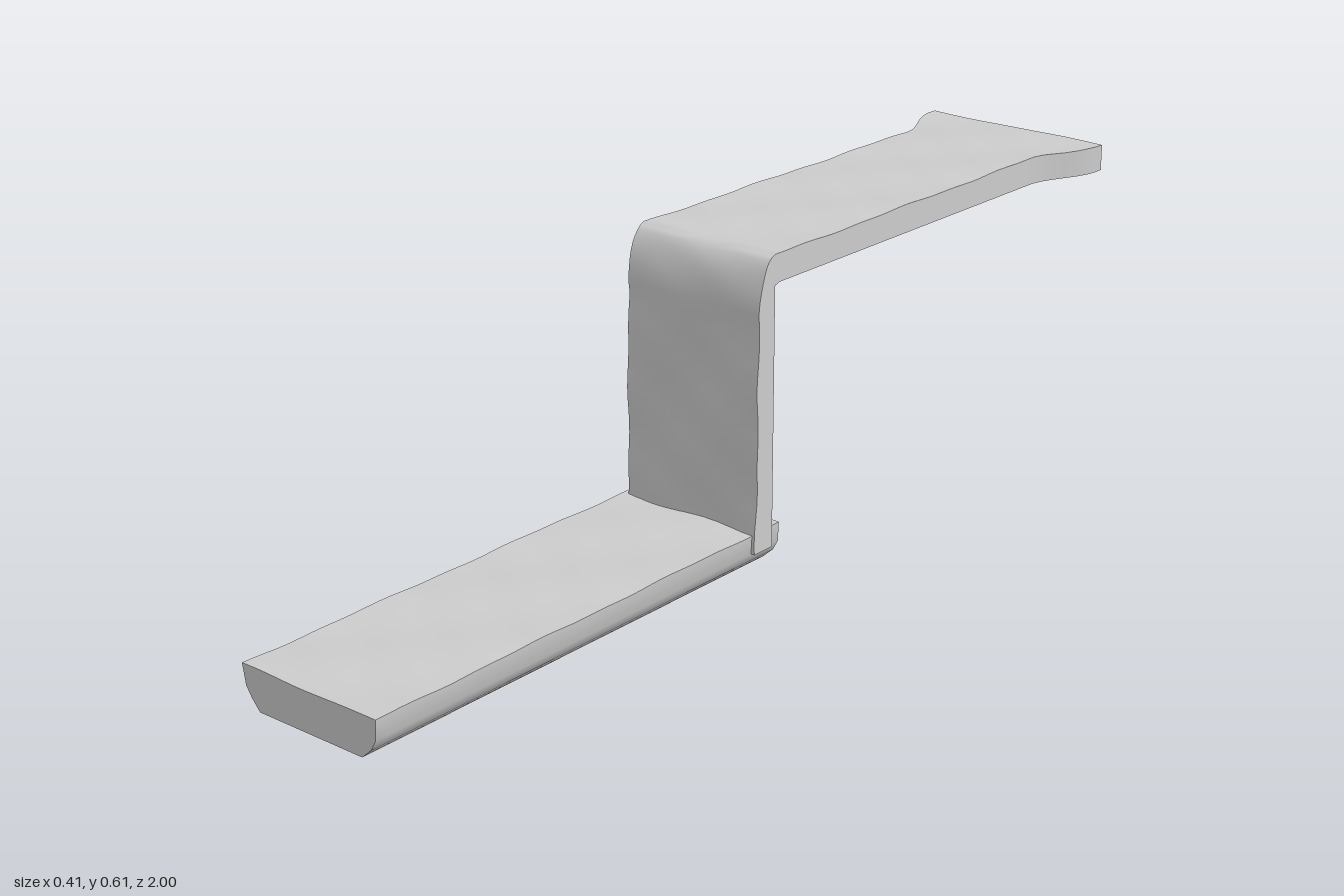
import * as THREE from 'three';
import { toCreasedNormals } from 'three/addons/utils/BufferGeometryUtils.js';

const ACROSS = 10; // divisions over the width of the water surface

// Gentle ripple, always slightly below the nominal surface
const ripple = (u, s) =>
  -0.002 + 0.0012 * Math.sin(u * 23 + s * 17) + 0.0008 * Math.sin(s * 41 - u * 31);

// Skin a row of equal closed rings (counter-clockwise seen from their end) and cap both ends
function loft(rings) {
  const n = rings[0].length, index = [];
  const pos = rings.flat().flatMap(p => p.toArray());
  for (let i = 0; i < rings.length - 1; i++) {
    for (let j = 0; j < n; j++) {
      const a = i * n + j, b = i * n + (j + 1) % n;
      index.push(a, b, b + n, a, b + n, a + n);
    }
  }
  for (const [k, flip] of [[0, true], [rings.length - 1, false]]) {
    const c = new THREE.Vector3();
    rings[k].forEach(p => c.addScaledVector(p, 1 / n));
    const ci = pos.length / 3;
    pos.push(c.x, c.y, c.z);
    for (let j = 0; j < n; j++) {
      const a = k * n + j, b = k * n + (j + 1) % n;
      index.push(ci, flip ? b : a, flip ? a : b);
    }
  }
  const g = new THREE.BufferGeometry();
  g.setAttribute('position', new THREE.Float32BufferAttribute(pos, 3));
  g.setIndex(index);
  return toCreasedNormals(g, 1.1);
}

function createFall() {
  // Stations: outer z, y; inner z, y; half width
  const stations = [];
  for (let i = 0; i <= 40; i++) {
    const z = -1 + i * 0.0245;
    const flare = 1 - THREE.MathUtils.smoothstep(z, -0.98, -0.82);
    stations.push([z, 0.606, z, 0.55, 0.155 + 0.052 * flare]);
  }
  // Rounded lip
  const lip = new THREE.CubicBezierCurve3(
    new THREE.Vector3(0, 0.606, 0), new THREE.Vector3(0.025, 0.6, 0),
    new THREE.Vector3(0.045, 0.56, 0), new THREE.Vector3(0.047, 0.5, 0));
  for (let i = 0; i <= 8; i++) {
    const p = lip.getPoint(i / 8);
    stations.push([p.x, p.y, -0.012 + 0.0015 * i, 0.55 - 0.0005 * i, 0.155]);
  }
  // Falling sheet
  for (let i = 1; i <= 20; i++) {
    const t = i / 20;
    const y = 0.5 - 0.46 * t;
    stations.push([0.047 + 0.009 * t, y, 0.003 * t, 0.546 - 0.506 * t, 0.155]);
  }
  const rings = stations.map(([oz, oy, iz, iy, w], s) => {
    const ring = [new THREE.Vector3(-w, iy, iz), new THREE.Vector3(w, iy, iz)];
    const out = new THREE.Vector3(0, oy - iy, oz - iz).normalize();
    if (s > 49) out.set(0, 0, 1);
    for (let j = 0; j <= ACROSS; j++) {
      const x = w * (1 - 2 * j / ACROSS);
      ring.push(new THREE.Vector3(x, oy, oz)
        .addScaledVector(out, ripple(x, s * 0.025) * (s > 49 ? 2 : 1)));
    }
    return ring;
  });
  return loft(rings);
}

function createLowerStream() {
  // Bevelled trough, listed from its upper left edge round to the right
  const hull = [[-0.16, 0.04], [-0.147, 0.02], [-0.129, 0], [0.114, 0], [0.136, 0.02], [0.147, 0.04]];
  const rings = [];
  for (let i = 0; i <= 40; i++) {
    const z = -0.025 + 1.025 * i / 40;
    const ring = hull.map(([x, y]) => new THREE.Vector3(x, y, z));
    for (let j = 0; j <= ACROSS; j++) {
      const x = 0.149 - 0.316 * j / ACROSS;
      ring.push(new THREE.Vector3(x, 0.08 + ripple(x, z), z));
    }
    rings.push(ring);
  }
  return loft(rings);
}

export function createModel() {
  const group = new THREE.Group();
  group.name = 'waterfall';
  const material = new THREE.MeshStandardMaterial({ color: 0xcccccc });
  const add = (name, geometry) => {
    const mesh = new THREE.Mesh(geometry, material);
    mesh.name = name;
    group.add(mesh);
  };
  add('upperStreamAndFall', createFall());
  add('lowerStream', createLowerStream());
  return group;
}
